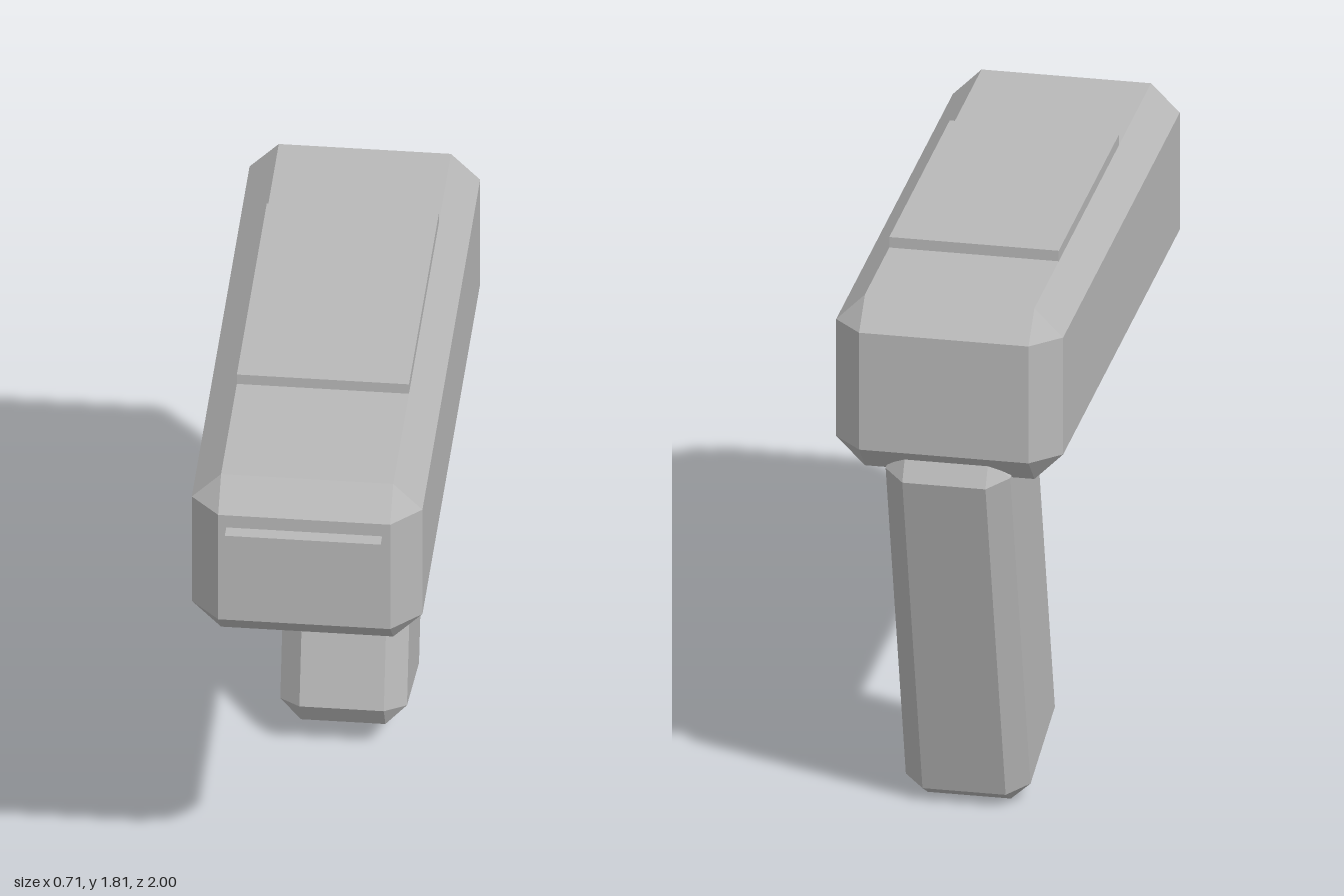
import * as THREE from 'three';
import { ConvexGeometry } from 'three/addons/geometries/ConvexGeometry.js';

// Box whose edges and corners are all cut off by c
function chamferedBox(w, h, d, c) {
  const points = [];
  for (const sx of [-1, 1]) for (const sy of [-1, 1]) for (const sz of [-1, 1]) {
    for (let outer = 0; outer < 3; outer++) {
      const half = [w / 2, h / 2, d / 2].map((v, i) => (i === outer ? v : v - c));
      points.push(new THREE.Vector3(sx * half[0], sy * half[1], sz * half[2]));
    }
  }
  return new ConvexGeometry(points);
}

export function createModel() {
  const model = new THREE.Group();
  const grey = new THREE.MeshStandardMaterial({ color: 0xb8b8b8 });
  grey.name = 'grey';

  function add(name, geometry, x, y, z) {
    const mesh = new THREE.Mesh(geometry, grey);
    mesh.name = name;
    mesh.position.set(x, y, z);
    model.add(mesh);
    return mesh;
  }

  // Long chamfered body
  add('body', chamferedBox(0.71, 0.57, 1.955, 0.09), 0, 1.495, -0.0225);

  // Grip leaning back, sunk into the body at its top
  const grip = add('grip', chamferedBox(0.39, 1.32, 0.514, 0.065), 0, 0.693, -0.597);
  grip.rotation.x = -Math.PI / 12;

  // Trigger under the body
  add('trigger', new THREE.BoxGeometry(0.14, 0.395, 0.18), 0, 1.0625, -0.285);

  // Raised plates on top and front
  add('topPlate', new THREE.BoxGeometry(0.53, 0.075, 0.92), 0, 1.7775, -0.08);
  add('frontPlate', new THREE.BoxGeometry(0.48, 0.295, 0.085), 0, 1.4975, 0.9575);

  return model;
}
